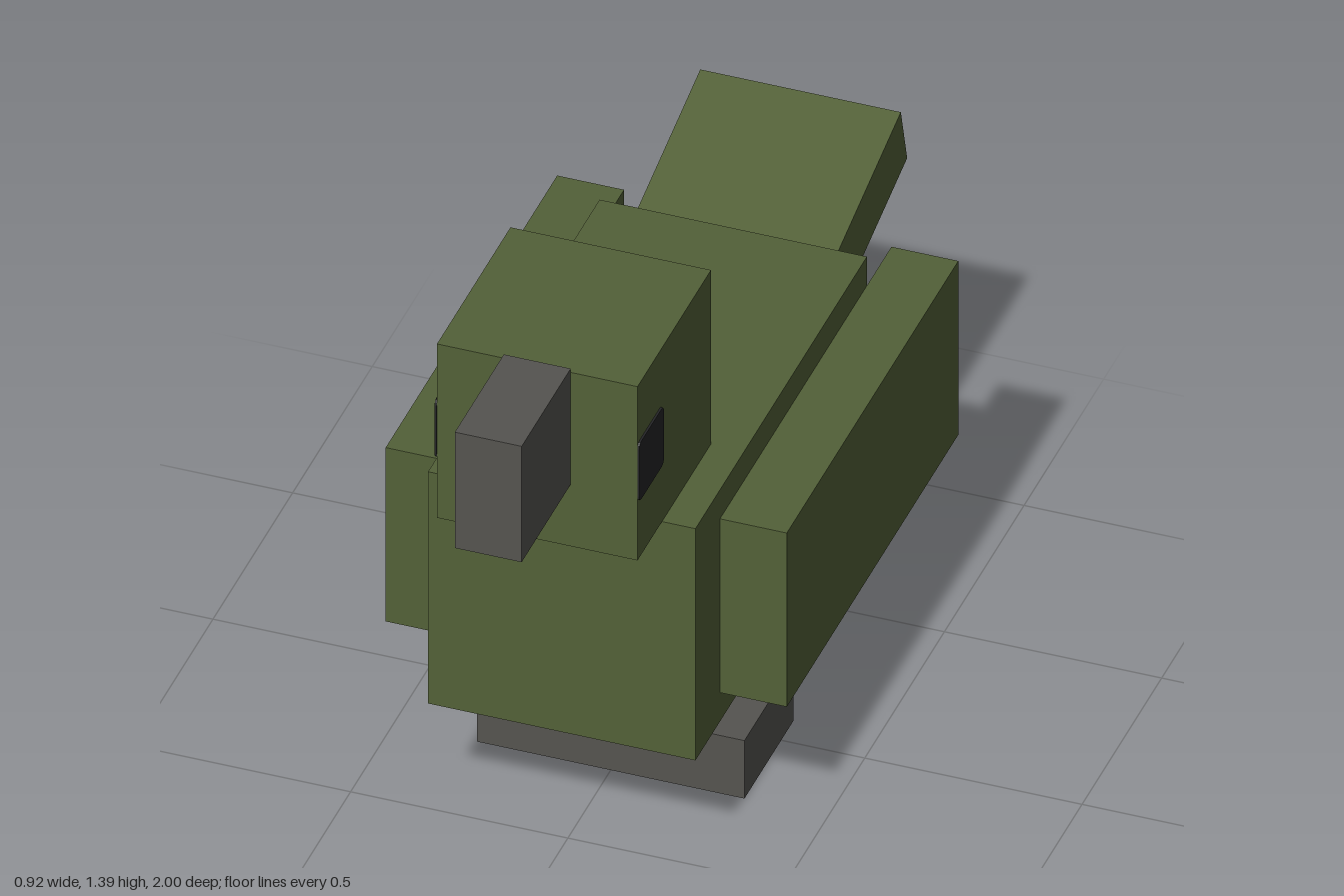
import * as THREE from 'three';

const U = 1 / 13; // block unit

const mat = (name, color) => {
  const m = new THREE.MeshStandardMaterial({ color });
  m.name = name;
  return m;
};

export function createModel() {
  const green = mat('olive green', 0x536138);
  const rust = mat('rust brown', 0x984d2e);
  const grey = mat('horn grey', 0x555450);
  const black = mat('eye black', 0x252527);

  const model = new THREE.Group();
  model.name = 'blockBird';

  // Box from its size and centre, both in block units
  const block = (name, size, pos, material) => {
    const mesh = new THREE.Mesh(new THREE.BoxGeometry(...size.map(v => v * U)), material);
    mesh.position.set(...pos.map(v => v * U));
    mesh.name = name;
    model.add(mesh);
    return mesh;
  };

  // Body with a rust rump (the -z face)
  block('body', [8, 8, 14], [0, 8, 0], [green, green, green, green, green, rust]);
  block('head', [6, 6, 6], [0, 15, 6], green);
  block('beak', [2, 4, 4], [0, 16.13, 11], grey);

  // Tail, tilted up and rooted inside the body
  const tilt = Math.PI / 12;
  const length = 7;
  const tail = block('tail', [6, 2, length], [0, 0, 0], green);
  tail.rotation.x = tilt;
  const s = Math.sin(tilt), c = Math.cos(tilt);
  tail.position.set(0, 0.93 - s * length / 2 * U, -0.981 + c * length / 2 * U);

  // Rounded square outline of an eye
  const h = U, r = 0.014;
  const outline = new THREE.Shape();
  outline.moveTo(-h + r, -h);
  outline.lineTo(h - r, -h);
  outline.quadraticCurveTo(h, -h, h, -h + r);
  outline.lineTo(h, h - r);
  outline.quadraticCurveTo(h, h, h - r, h);
  outline.lineTo(-h + r, h);
  outline.quadraticCurveTo(-h, h, -h, h - r);
  outline.lineTo(-h, -h + r);
  outline.quadraticCurveTo(-h, -h, -h + r, -h);
  const eyeGeo = new THREE.ExtrudeGeometry(outline, { depth: 0.005, bevelEnabled: false, curveSegments: 3 });

  for (const [side, k] of [['left', 1], ['right', -1]]) {
    block(side + 'Wing', [2, 6, 14], [5 * k, 8, -2], green);
    block(side + 'Leg', [2, 2, 2], [2 * k, 3, 0], grey);

    const eye = new THREE.Mesh(eyeGeo, black);
    eye.name = side + 'Eye';
    eye.rotation.y = k * Math.PI / 2;
    eye.position.set(k * 3 * U, 1.157, 0.617);
    model.add(eye);
  }

  // Both feet form one slab
  block('feet', [8, 2, 4], [0, 1, 1], grey);

  return model;
}
